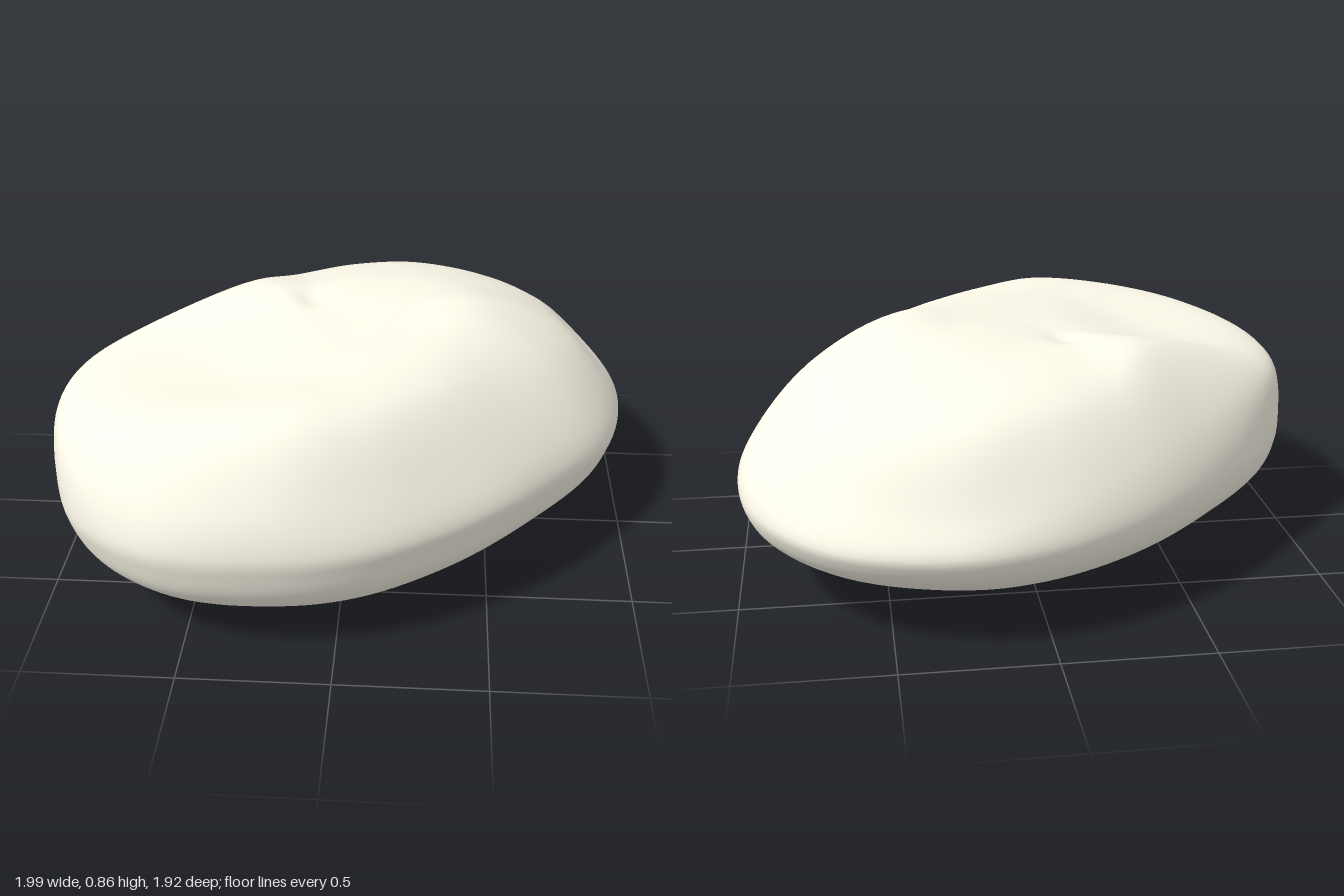
import * as THREE from 'three';

// Around the stone: girth x, z, y | lower shoulder scale, y | upper shoulder scale, y | crown y
const SIDES = [
  [0.30, -0.96, 0.35, 0.94, 0.46, 0.79, 0.695, 0.80],
  [0.68, -0.85, 0.35, 0.93, 0.48, 0.78, 0.68, 0.81],
  [0.92, -0.58, 0.37, 0.94, 0.50, 0.79, 0.67, 0.82],
  [0.99, -0.28, 0.39, 0.96, 0.49, 0.79, 0.69, 0.85],
  [0.93, 0.055, 0.39, 0.94, 0.51, 0.74, 0.72, 0.855],
  [0.70, 0.38, 0.40, 0.92, 0.54, 0.69, 0.75, 0.84],
  [0.43, 0.655, 0.41, 0.92, 0.55, 0.71, 0.76, 0.83],
  [0.10, 0.87, 0.42, 0.93, 0.57, 0.75, 0.77, 0.82],
  [-0.20, 0.95, 0.43, 0.95, 0.58, 0.77, 0.79, 0.805],
  [-0.585, 0.925, 0.43, 0.95, 0.58, 0.80, 0.755, 0.78],
  [-0.86, 0.72, 0.42, 0.97, 0.58, 0.86, 0.71, 0.75],
  [-0.99, 0.35, 0.42, 0.99, 0.60, 0.91, 0.675, 0.74],
  [-0.965, -0.05, 0.42, 0.97, 0.60, 0.86, 0.675, 0.755],
  [-0.64, -0.475, 0.40, 0.91, 0.58, 0.65, 0.795, 0.815],
  [-0.345, -0.74, 0.38, 0.92, 0.55, 0.73, 0.73, 0.80],
  [-0.03, -0.905, 0.36, 0.94, 0.50, 0.76, 0.715, 0.80],
];
const AROUND = 128, UP = 72, CROWN = 0.815;

// Closed smooth loop through one level of the stone
function ring(scaleOf, yOf) {
  const points = SIDES.map(p => new THREE.Vector3(p[0] * scaleOf(p), yOf(p), p[1] * scaleOf(p)));
  return new THREE.CatmullRomCurve3(points, true);
}

// Soft falloff around a point
const falloff = (p, x, y, z, radius) =>
  Math.exp(-((p.x - x) ** 2 + (p.y - y) ** 2 + (p.z - z) ** 2) / radius ** 2);

function stoneGeometry() {
  // Underside levels: scale, height, tilt from front to back
  const bowl = [[0.3, 0.012, 0.1], [0.6, 0.06, 0.12], [0.8, 0.138, 0.12], [0.94, 0.24, 0], [0.985, 0.32, -0.08]];
  const rings = [
    ...bowl.map(([s, y, tilt]) => ring(() => s, p => y * (1 - tilt * p[1]))),
    ring(() => 1, p => p[2]),
    ring(p => p[3], p => p[4]),
    ring(p => p[5], p => p[6]),
    ring(() => 0.45, p => p[7]),
    ring(() => 0.2, p => CROWN + 0.022 * p[0]),
  ];
  const crownRing = rings[rings.length - 1];
  const crownAt = (rings.length + 1) / (rings.length + 2);
  const positions = [0, 0, 0], index = [];
  const top = 1 + AROUND * (UP - 1);
  const at = (i, j) => i === 0 ? 0 : i === UP ? top : 1 + (j % AROUND) * (UP - 1) + i - 1;

  for (let j = 0; j < AROUND; j++) {
    // Upright profile from the base over the crown, so both halves meet smoothly
    const profile = new THREE.CatmullRomCurve3([
      new THREE.Vector3(0, 0, 0),
      ...rings.map(r => r.getPoint(j / AROUND)),
      new THREE.Vector3(0, CROWN, 0),
      crownRing.getPoint((j / AROUND + 0.5) % 1),
    ]);
    for (let i = 1; i < UP; i++) {
      const p = profile.getPoint(i / UP * crownAt);
      // Small dimple in the upper face, and a hollow above the ledge at one end
      p.y -= 0.02 * falloff(p, -0.15, 0.81, -0.18, 0.06);
      const hollow = 0.03 * falloff(p, 0.84, 0.58, -0.36, 0.14);
      p.x -= hollow;
      p.y -= hollow * 0.6;
      positions.push(p.x, Math.max(p.y, 0), p.z);
    }
    for (let i = 0; i < UP; i++) {
      const a = at(i, j), b = at(i, j + 1), c = at(i + 1, j), d = at(i + 1, j + 1);
      if (i > 0) index.push(a, c, b);
      if (i < UP - 1) index.push(b, c, d);
    }
  }
  positions.push(0, CROWN, 0);

  const geometry = new THREE.BufferGeometry();
  geometry.setAttribute('position', new THREE.Float32BufferAttribute(positions, 3));
  geometry.setIndex(index);
  geometry.computeVertexNormals();
  return geometry;
}

export function createModel() {
  const group = new THREE.Group();
  group.name = 'rock';
  const stone = new THREE.Mesh(stoneGeometry(), new THREE.MeshStandardMaterial({ color: 0xfffbec }));
  stone.name = 'stone';
  group.add(stone);
  return group;
}
